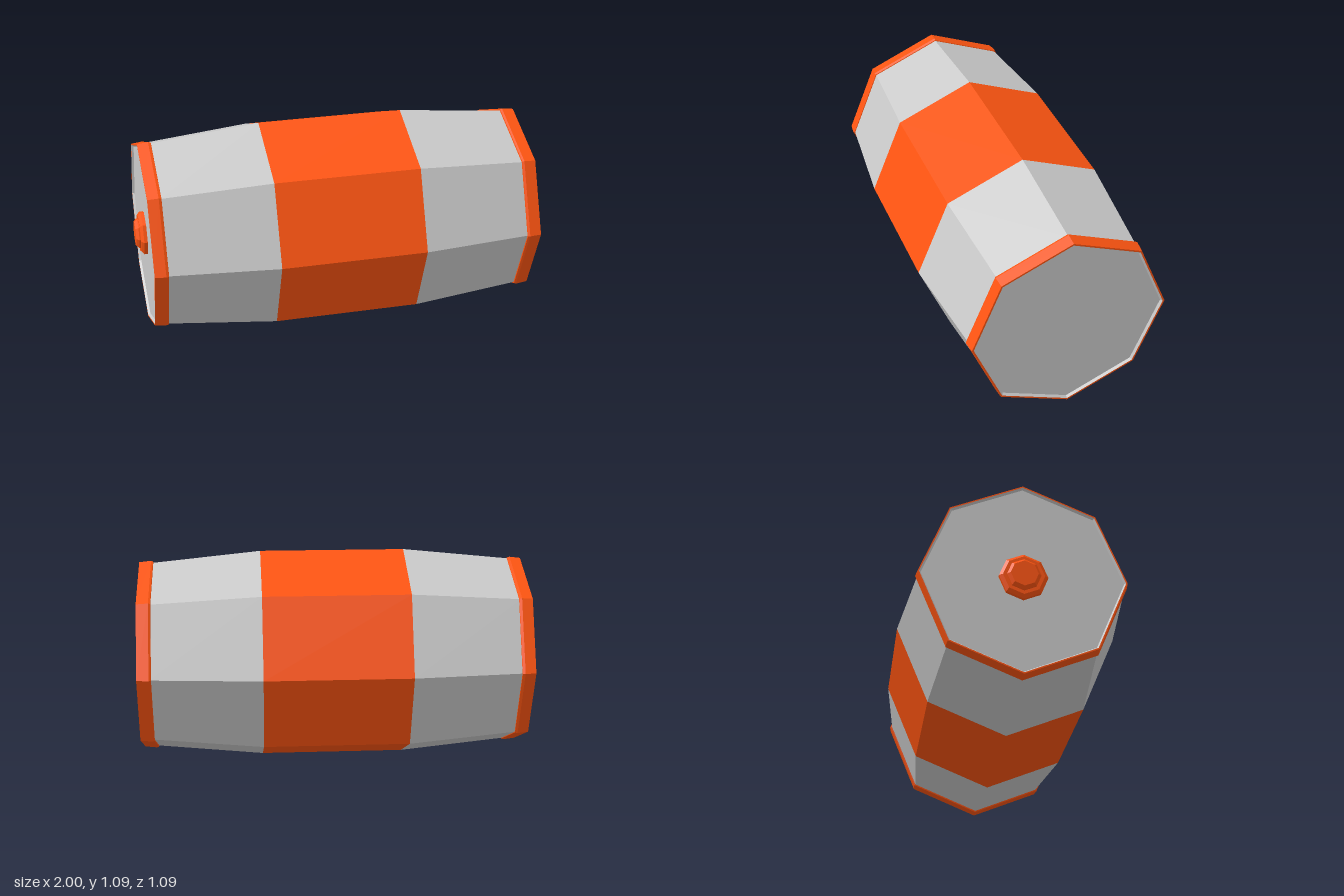
import * as THREE from 'three';

const SIDES = 8;
const AXIS_Y = 0.545;
const grey = new THREE.MeshStandardMaterial({ color: 0xcccccc, flatShading: true });
const orange = new THREE.MeshStandardMaterial({ color: 0xff5511, flatShading: true });

// Octagonal solid turned about the x axis from [x, radius] pairs, listed so the outside runs towards +x
function turned(name, profile, material) {
  const points = profile.map(([x, r]) => new THREE.Vector2(r, x));
  const geometry = new THREE.LatheGeometry(points, SIDES);
  geometry.rotateZ(-Math.PI / 2);
  const mesh = new THREE.Mesh(geometry, material);
  mesh.name = name;
  return mesh;
}

export function createModel() {
  const barrel = new THREE.Group();
  barrel.name = 'barrel';

  // Tapered body with a wide coloured band round the middle
  barrel.add(turned('rightBody', [[-0.9, 0.487], [-0.35, 0.543]], grey));
  barrel.add(turned('middleBand', [[-0.35, 0.543], [0.385, 0.543]], orange));
  barrel.add(turned('leftBody', [[0.385, 0.543], [0.94, 0.487]], grey));

  // Rims with a small bevel on the inner edge, open towards the recessed ends
  barrel.add(turned('rightRim', [
    [-0.96, 0.482], [-0.96, 0.489], [-0.905, 0.496], [-0.892, 0.492], [-0.89, 0.484],
  ], orange));
  barrel.add(turned('leftRim', [
    [0.928, 0.484], [0.93, 0.495], [0.94, 0.499], [1, 0.492], [1, 0.483],
  ], orange));

  // End panels, slightly sunk with a sloping edge
  barrel.add(turned('rightEnd', [[-0.948, 0], [-0.948, 0.474], [-0.96, 0.482]], grey));
  barrel.add(turned('leftEnd', [[1, 0.483], [0.988, 0.474], [0.988, 0]], grey));

  // Stepped plug in the middle of the right end
  barrel.add(turned('plug', [
    [-1, 0], [-1, 0.065], [-0.985, 0.08], [-0.979, 0.08],
    [-0.979, 0.098], [-0.965, 0.115], [-0.948, 0.115],
  ], orange));

  barrel.position.y = AXIS_Y;
  const model = new THREE.Group();
  model.name = 'barrelModel';
  model.add(barrel);
  return model;
}
